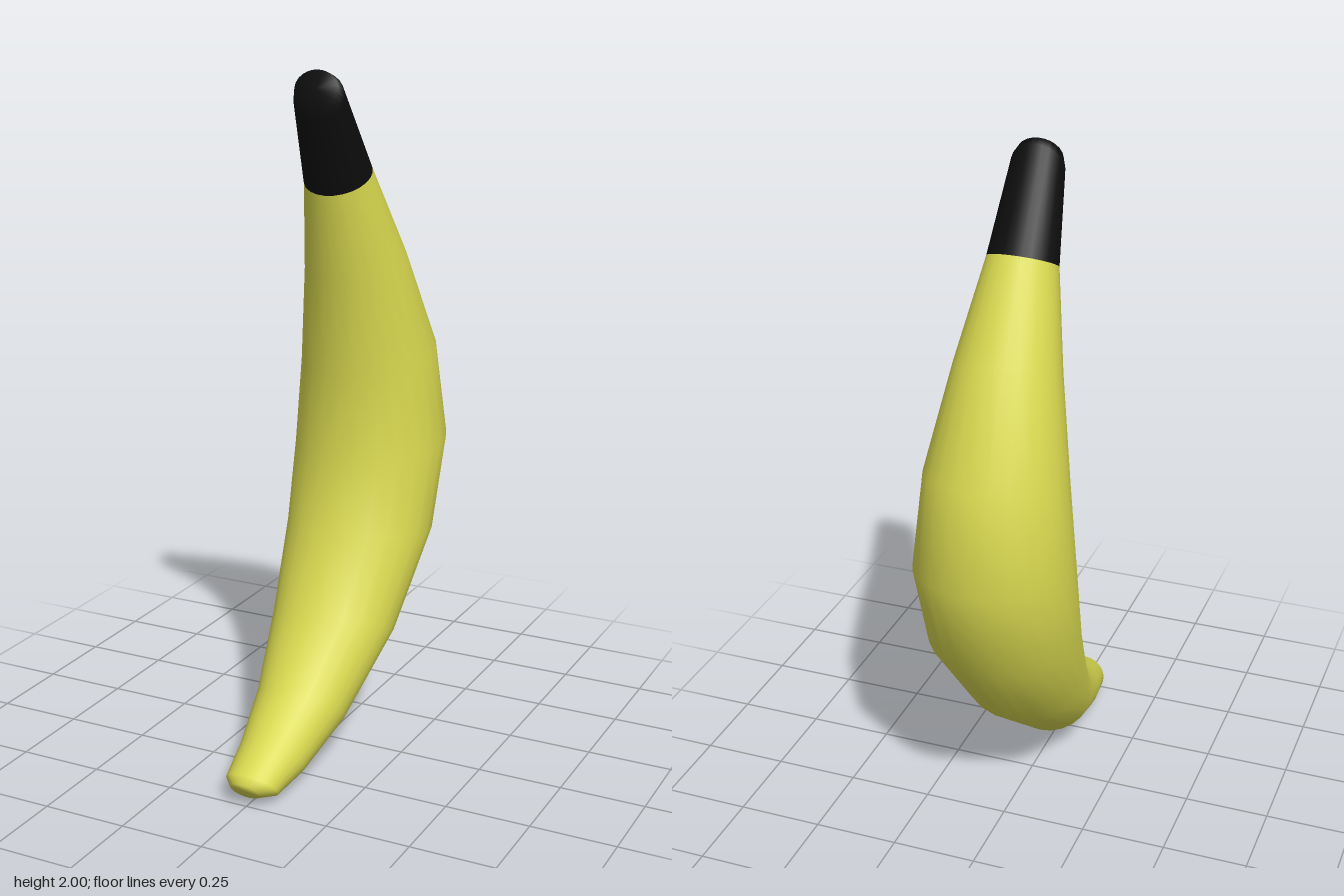
import * as THREE from 'three';

const SIDES = 24;

// Each ring: inner edge z, y, outer edge z, y, half width in x
const peelRings = [
  [0.53, 0.08, 0.485, 0.02, 0.045],
  [0.51, 0.10, 0.42, 0.0, 0.08],
  [0.40, 0.16, 0.29, 0.01, 0.1],
  [0.26, 0.26, 0.07, 0.09, 0.135],
  [0.10, 0.43, -0.20, 0.30, 0.187],
  [-0.02, 0.64, -0.44, 0.60, 0.222],
  [-0.08, 0.85, -0.53, 0.90, 0.23],
  [-0.09, 1.10, -0.48, 1.19, 0.203],
  [-0.05, 1.39, -0.33, 1.48, 0.15],
  [0.01, 1.65, -0.16, 1.74, 0.1],
];
const stemRings = [
  peelRings[peelRings.length - 1],
  [0.07, 1.86, 0.02, 1.99, 0.077],
  [0.076, 1.90, 0.048, 2.0, 0.066],
];

// Skin a row of elliptical rings, with an optional closing fan at either end
function loft(rings, capStart, capEnd) {
  const positions = [];
  const index = [];
  for (const [zi, yi, zo, yo, w] of rings) {
    for (let j = 0; j < SIDES; j++) {
      const a = (j / SIDES) * Math.PI * 2;
      const k = (1 + Math.cos(a)) / 2;
      positions.push(-Math.sin(a) * w, yi + (yo - yi) * k, zi + (zo - zi) * k);
    }
  }
  const at = (i, j) => i * SIDES + (j % SIDES);
  for (let i = 0; i < rings.length - 1; i++) {
    for (let j = 0; j < SIDES; j++) {
      index.push(at(i, j), at(i, j + 1), at(i + 1, j));
      index.push(at(i, j + 1), at(i + 1, j + 1), at(i + 1, j));
    }
  }
  const cap = (i, flip) => {
    const [zi, yi, zo, yo] = rings[i];
    const centre = positions.length / 3;
    positions.push(0, (yi + yo) / 2, (zi + zo) / 2);
    for (let j = 0; j < SIDES; j++) {
      if (flip) index.push(centre, at(i, j + 1), at(i, j));
      else index.push(centre, at(i, j), at(i, j + 1));
    }
  };
  if (capStart) cap(0, true);
  if (capEnd) cap(rings.length - 1, false);

  const geometry = new THREE.BufferGeometry();
  geometry.setAttribute('position', new THREE.Float32BufferAttribute(positions, 3));
  geometry.setIndex(index);
  geometry.computeVertexNormals();
  return geometry;
}

export function createModel() {
  const group = new THREE.Group();
  group.name = 'banana';

  // Curved yellow body, closed at its lower tip
  const peel = new THREE.Mesh(
    loft(peelRings, true, false),
    new THREE.MeshStandardMaterial({ color: 0xd8d850 })
  );
  peel.name = 'peel';

  // Dark stem closing the upper end
  const stem = new THREE.Mesh(
    loft(stemRings, false, true),
    new THREE.MeshStandardMaterial({ color: 0x0d0d0d })
  );
  stem.name = 'stem';

  group.add(peel, stem);
  return group;
}
